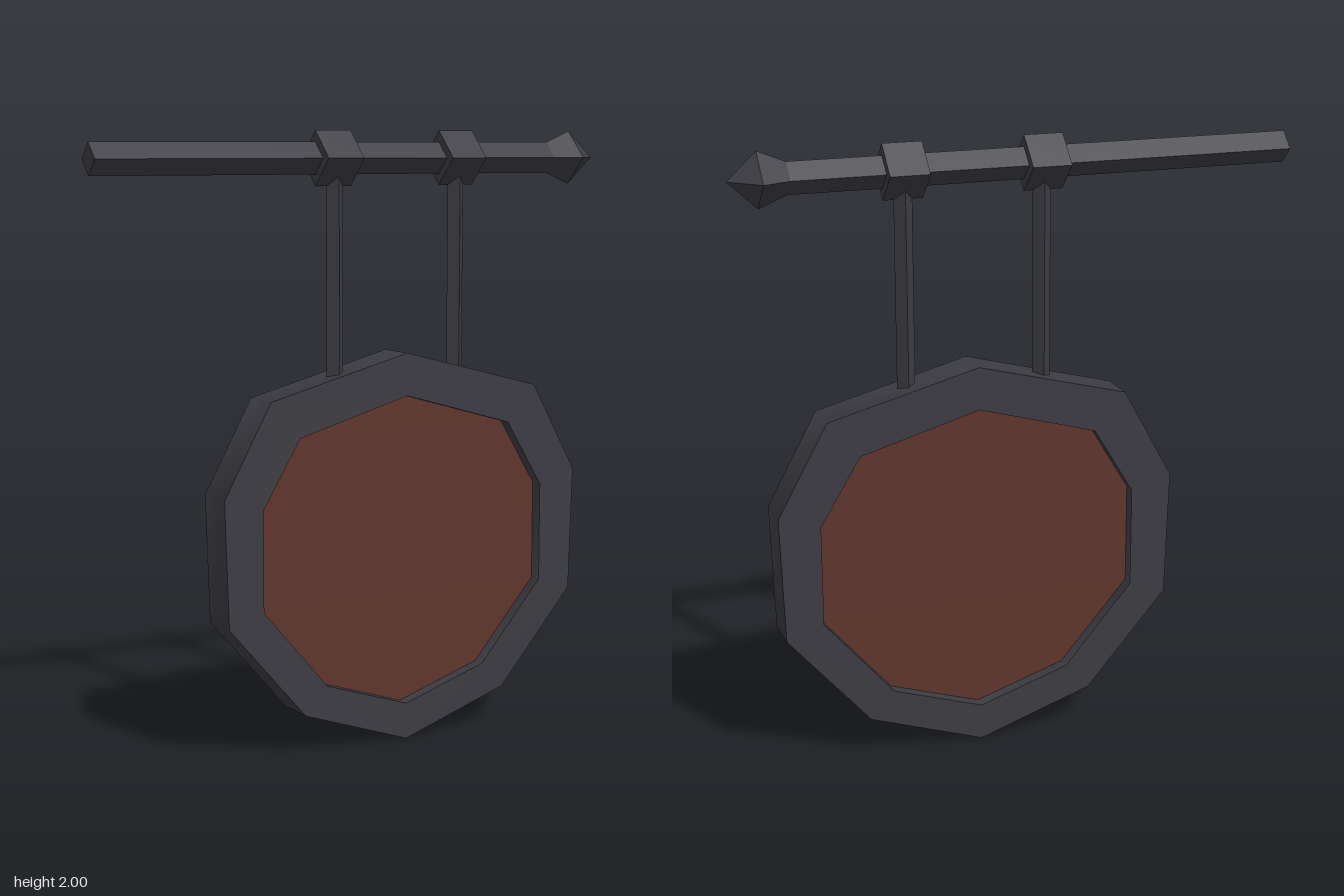
import * as THREE from 'three';
import { toCreasedNormals } from 'three/addons/utils/BufferGeometryUtils.js';

const iron = new THREE.MeshStandardMaterial({ color: 0x3b3b42 });
iron.name = 'dark iron';
const wood = new THREE.MeshStandardMaterial({ color: 0x5e342b });
wood.name = 'red brown wood';

const CENTRE_X = 0.153;  // middle of the hanging board
const CENTRE_Z = -0.006;
const BEAM_Y = 1.912;

// Right half of each outline, top to bottom: [offset from centre, y]
const OUTER = [[0, 1.287], [0.498, 1.156], [0.663, 0.857], [0.65, 0.443], [0.379, 0.129], [0, 0]];
const INNER = [[0, 1.147], [0.394, 1.035], [0.527, 0.815], [0.527, 0.485], [0.299, 0.218], [0, 0.12]];

// Mirrors a half outline into a closed clockwise ring of points
function ring(half) {
  const left = half.slice(1, -1).reverse().map(([x, y]) => [-x, y]);
  return [...half, ...left].map(([x, y]) => new THREE.Vector2(CENTRE_X + x, y));
}

// Extrudes a shape so that it is centred on the board's depth
function slab(shape, depth) {
  const geometry = new THREE.ExtrudeGeometry(shape, { depth, bevelEnabled: false });
  geometry.translate(0, 0, CENTRE_Z - depth / 2);
  return toCreasedNormals(geometry, Math.PI / 3);
}

// Four-sided bar with its edges pointing along the axes
function diamondBar(radiusTop, radiusBottom, length) {
  return toCreasedNormals(new THREE.CylinderGeometry(radiusTop, radiusBottom, length, 4), 0.2);
}

export function createModel() {
  const model = new THREE.Group();
  model.name = 'hangingSign';

  function add(name, geometry, material) {
    const mesh = new THREE.Mesh(geometry, material);
    mesh.name = name;
    model.add(mesh);
    return mesh;
  }

  // Bar lying along x between two positions
  function addAlongBeam(name, x0, x1, r0, r1) {
    const mesh = add(name, diamondBar(r1, r0, x1 - x0), iron);
    mesh.rotation.z = -Math.PI / 2;
    mesh.position.set((x0 + x1) / 2, BEAM_Y, 0);
  }

  // Beam with a pointed end
  addAlongBeam('beam', -0.917, 0.733, 0.051, 0.051);
  addAlongBeam('finialBase', 0.733, 0.823, 0.051, 0.088);
  addAlongBeam('finialTip', 0.823, 0.917, 0.088, 0);

  // Collars and the rods hanging from them
  [['right', -0.086, -0.081], ['left', 0.372, 0.372]].forEach(([side, collarX, rodX]) => {
    addAlongBeam(side + 'Collar', collarX - 0.064, collarX + 0.064, 0.088, 0.088);
    const rod = add(side + 'Rod', diamondBar(0.03, 0.03, 0.7), iron);
    rod.position.set(rodX, 1.55, 0);
  });

  // Ten-sided frame around a recessed board; the hole winds the other way
  const frame = new THREE.Shape(ring(OUTER));
  frame.holes.push(new THREE.Path(ring(INNER).reverse()));
  add('frame', slab(frame, 0.14), iron);
  add('board', slab(new THREE.Shape(ring(INNER)), 0.055), wood);

  return model;
}
